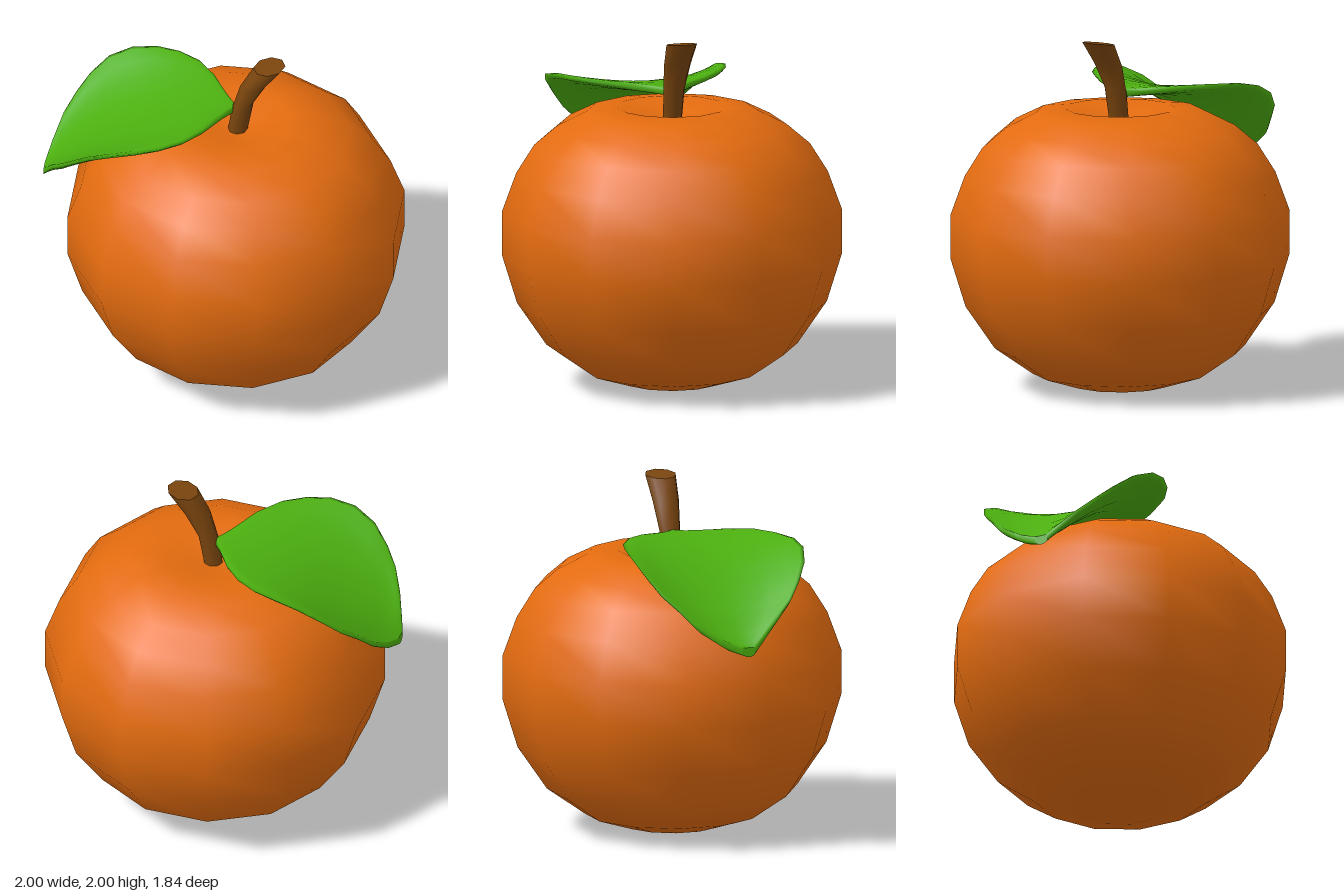
import * as THREE from 'three';

// Closed skin over a list of equal rings, with flat caps on both ends.
function loft(rings) {
  const n = rings[0].length, pos = [], idx = [];
  rings.forEach(r => r.forEach(p => pos.push(...p)));
  for (let i = 0; i < rings.length - 1; i++) {
    for (let j = 0; j < n; j++) {
      const a = i * n + j, b = i * n + (j + 1) % n;
      idx.push(a, a + n, b, b, a + n, b + n);
    }
  }
  [rings[0], rings[rings.length - 1]].forEach((ring, end) => {
    const base = pos.length / 3;
    ring.forEach(p => pos.push(...p));
    for (let j = 1; j < n - 1; j++) {
      if (end) idx.push(base, base + j + 1, base + j);
      else idx.push(base, base + j, base + j + 1);
    }
  });
  const g = new THREE.BufferGeometry();
  g.setAttribute('position', new THREE.Float32BufferAttribute(pos, 3));
  g.setIndex(idx);
  g.computeVertexNormals();
  return g;
}

export function createModel() {
  const group = new THREE.Group();
  const material = (name, color) => {
    const m = new THREE.MeshStandardMaterial({ color });
    m.name = name;
    return m;
  };
  const add = (name, geometry, mat) => {
    const mesh = new THREE.Mesh(geometry, mat);
    mesh.name = name;
    group.add(mesh);
    return mesh;
  };
  const orange = material('orange peel', 0xe36b0f);
  const green = material('leaf green', 0x4caf0f);
  const brown = material('stem brown', 0x7a450e);

  // Fruit: twelve-sided turned body with a shallow dimple on top
  const profile = [
    [0, 0], [0.27, 0.02], [0.495, 0.09], [0.705, 0.235], [0.87, 0.475], [0.955, 0.75],
    [0.955, 1.0], [0.875, 1.22], [0.775, 1.38], [0.645, 1.49], [0.475, 1.575],
    [0.31, 1.595], [0.15, 1.55], [0, 1.53],
  ].map(([x, y]) => new THREE.Vector2(x, y));
  add('fruit', new THREE.LatheGeometry(profile, 12, Math.PI / 12), orange).position.x = 0.075;

  // Stem: bent and widening; each row is x, y, radius, rise of the ring towards +x
  const stemRows = [
    [0.08, 1.5, 0.054, 0], [0.113, 1.7, 0.062, 0.03],
    [0.178, 1.855, 0.078, 0.015], [0.265, 1.988, 0.09, 0.012],
  ];
  add('stem', loft(stemRows.map(([x, y, r, rise]) =>
    Array.from({ length: 8 }, (_, j) => {
      const a = j * Math.PI / 4;
      return [x + r * Math.cos(a), y + rise * Math.cos(a), r * Math.sin(a)];
    }))), brown);

  // Leaf: cupped and drooping; each row is x, back z, front z, midrib y, edge y
  const leafRows = [
    [-1.0, 0.03, 0.11, 1.2, 1.21], [-0.975, -0.1, 0.17, 1.22, 1.27],
    [-0.93, -0.24, 0.27, 1.26, 1.37], [-0.87, -0.32, 0.37, 1.31, 1.46],
    [-0.8, -0.4, 0.44, 1.37, 1.54], [-0.7, -0.455, 0.51, 1.44, 1.63],
    [-0.57, -0.475, 0.55, 1.53, 1.69], [-0.43, -0.465, 0.545, 1.6, 1.715],
    [-0.3, -0.43, 0.5, 1.645, 1.72], [-0.18, -0.36, 0.42, 1.67, 1.72],
    [-0.08, -0.25, 0.29, 1.68, 1.71], [0.01, -0.1, 0.11, 1.68, 1.69],
    [0.06, -0.025, 0.025, 1.68, 1.68],
  ];
  add('leaf', loft(leafRows.map(([x, back, front, mid, edge]) =>
    Array.from({ length: 20 }, (_, j) => {
      const a = j * Math.PI / 10, t = Math.cos(a), s = Math.sin(a);
      const h = 0.027 * Math.sign(s) * Math.sqrt(Math.abs(s));
      return [x, mid + (edge - mid) * t * t + h, (back + front) / 2 + t * (front - back) / 2];
    }))), green);

  return group;
}
